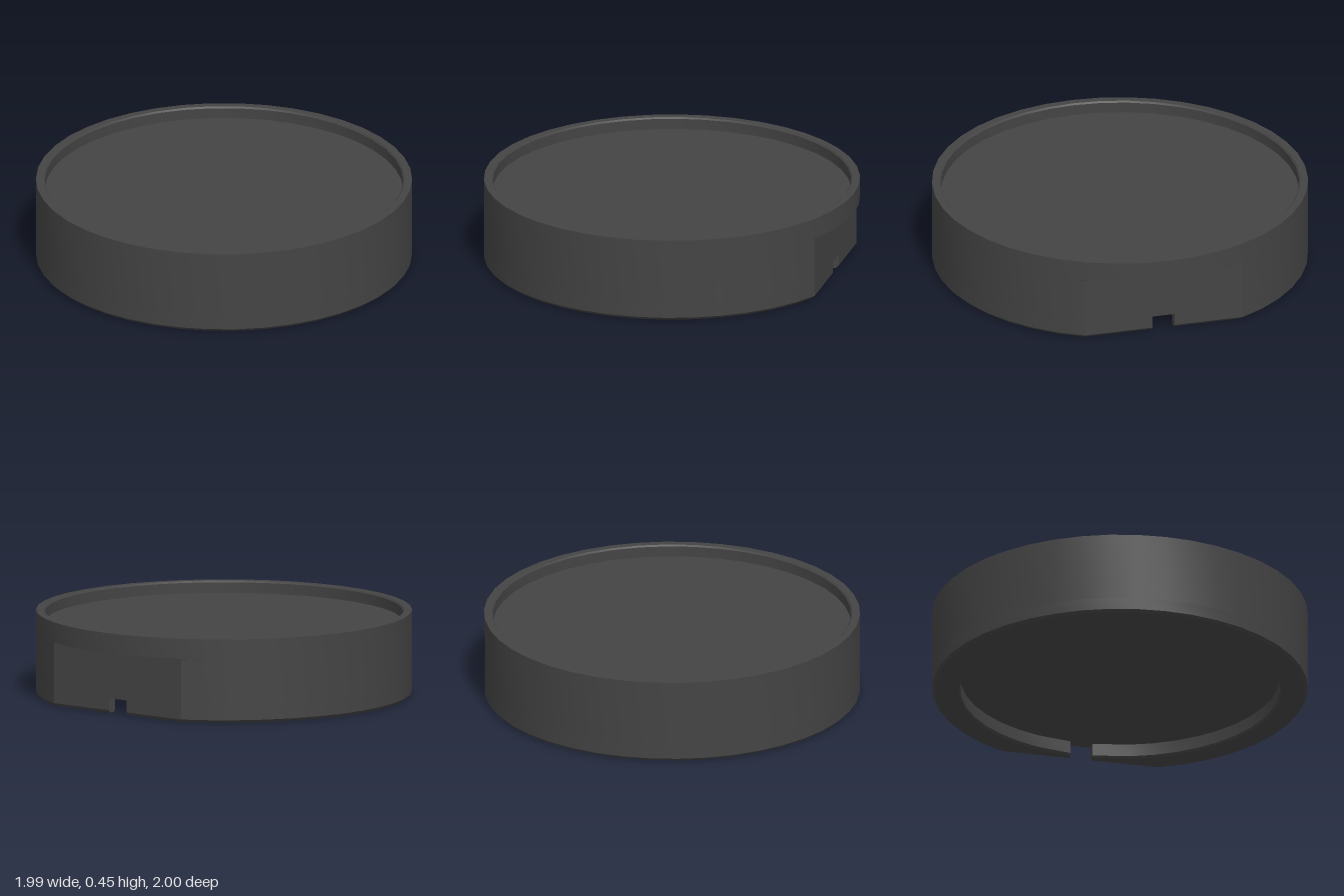
import * as THREE from 'three';
import { toCreasedNormals } from 'three/addons/utils/BufferGeometryUtils.js';

const SIDES = 42;                     // three sides each way span the back flat
const STEP = (Math.PI * 2) / SIDES;
const FLAT = 0.9;                     // distance of the back flat from the axis
const SLOT = 0.06;                    // half width of the cable slot
const BASE = 0.08;                    // depth of the hollow underneath
const OVERHANG = 0.34;                // the flat is cut below this height

const vec = (list) => list.map(([r, y]) => new THREE.Vector2(r, y));

// Height-limited cut: pushes points behind the flat onto it, keeping bevel insets.
function flatDepth(r, z) {
  return r > FLAT - 0.02 ? Math.max(z, -(FLAT - Math.max(0, 1 - r))) : z;
}

function cutBack(geometry, slotted) {
  const p = geometry.attributes.position;
  for (let i = 0; i < p.count; i++) {
    let x = p.getX(i), z = p.getZ(i);
    if (p.getY(i) > OVERHANG) continue;
    const r = Math.hypot(x, z);
    if (slotted && Math.abs(Math.atan2(x, -z)) < STEP * 1.05) {
      // ends of the ring become the straight sides of the slot
      x = Math.sign(x) * SLOT;
      z = -Math.sqrt(r * r - SLOT * SLOT);
    }
    const cut = flatDepth(r, z);
    // slide along the flat, so that its ends stay on the round wall
    p.setXYZ(i, x, p.getY(i), cut);
  }
  return toCreasedNormals(geometry, 0.3);
}

export function createModel() {
  const model = new THREE.Group();
  const material = new THREE.MeshStandardMaterial({ color: 0x444444, side: THREE.DoubleSide });
  const add = (name, geometry) => {
    const mesh = new THREE.Mesh(geometry, material);
    mesh.name = name;
    model.add(mesh);
    return mesh;
  };

  // Solid body with overhanging shelf at the back and a shallow recess on top
  const body = vec([
    [0, BASE], [1, BASE], [1, OVERHANG - 0.001], [1, OVERHANG + 0.001], [1, 0.45],
    [0.96, 0.45], [0.952, 0.442], [0.952, 0.385], [0, 0.385],
  ]);
  add('body', cutBack(new THREE.LatheGeometry(body, SIDES), false));

  // Foot ring around the hollow underneath, open at the cable slot
  const foot = vec([
    [0.85, BASE], [0.85, 0.012], [0.86, 0], [0.985, 0], [1, 0.015], [1, BASE],
  ]);
  const ring = new THREE.LatheGeometry(foot, SIDES - 2, Math.PI + STEP, Math.PI * 2 - 2 * STEP);
  add('footRing', cutBack(ring, true));

  // Side walls of the cable slot
  const outline = foot.map(({ x: r, y }) =>
    new THREE.Vector2(-flatDepth(r, -Math.sqrt(r * r - SLOT * SLOT)), y));
  for (const side of [-1, 1]) {
    const wall = add(side > 0 ? 'leftSlotWall' : 'rightSlotWall',
      new THREE.ShapeGeometry(new THREE.Shape(outline)));
    wall.rotation.y = Math.PI / 2;
    wall.position.x = side * SLOT;
  }
  return model;
}
